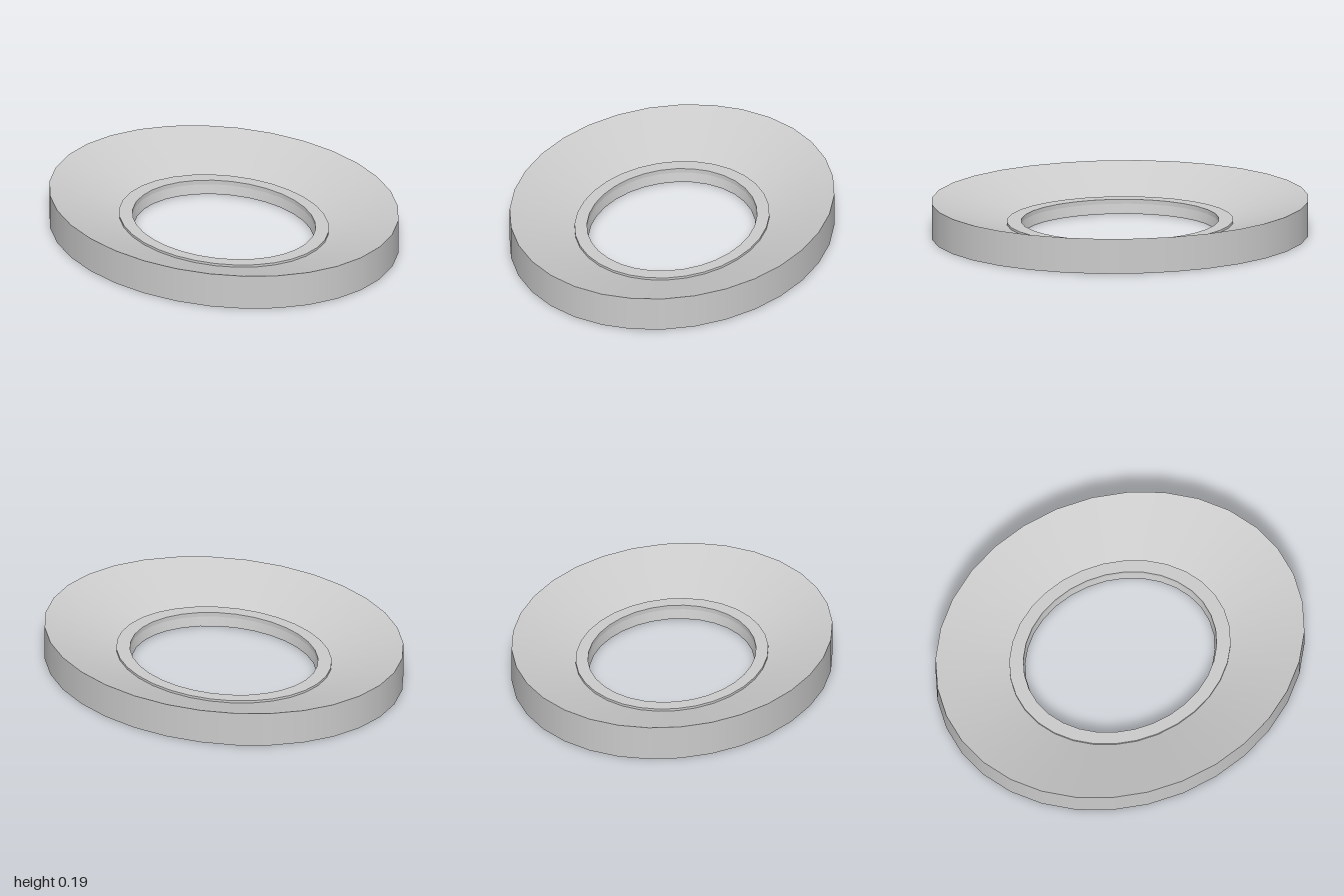
import * as THREE from 'three';
import { mergeGeometries } from 'three/addons/utils/BufferGeometryUtils.js';

const SEGMENTS = 32;
const OVAL = 0.834; // width of the oval relative to its length

// Revolves each profile edge as its own band, so edges stay sharp and the round stays smooth.
function ovalRing(name, profile, material) {
  const bands = [];
  for (let i = 0; i < profile.length - 1; i++) {
    const points = [profile[i], profile[i + 1]].map(([r, y]) => new THREE.Vector2(r, y));
    bands.push(new THREE.LatheGeometry(points, SEGMENTS));
  }
  const geometry = mergeGeometries(bands);
  geometry.scale(OVAL, 1, 1);
  const mesh = new THREE.Mesh(geometry, material);
  mesh.name = name;
  return mesh;
}

export function createModel() {
  const group = new THREE.Group();
  group.name = 'ovalRing';
  const material = new THREE.MeshStandardMaterial({ color: 0xcccccc, side: THREE.DoubleSide });

  // Thin outer wall, open underneath
  group.add(ovalRing('outerWall', [[1, 0], [1, 0.19]], material));

  // Dished face sloping down to the flange
  group.add(ovalRing('dishedFace', [[1, 0.19], [0.6, 0.066]], material));

  // Flat flange around the opening
  group.add(ovalRing('flange',
    [[0.55, 0.055], [0.6, 0.055], [0.6, 0.079], [0.524, 0.079], [0.524, 0.055]], material));

  // Neck below the flange, tapering inwards to the hole
  group.add(ovalRing('neck',
    [[0.524, 0.055], [0.514, 0.008], [0.514, 0.002], [0.548, 0.002], [0.548, 0.055]], material));

  return group;
}
